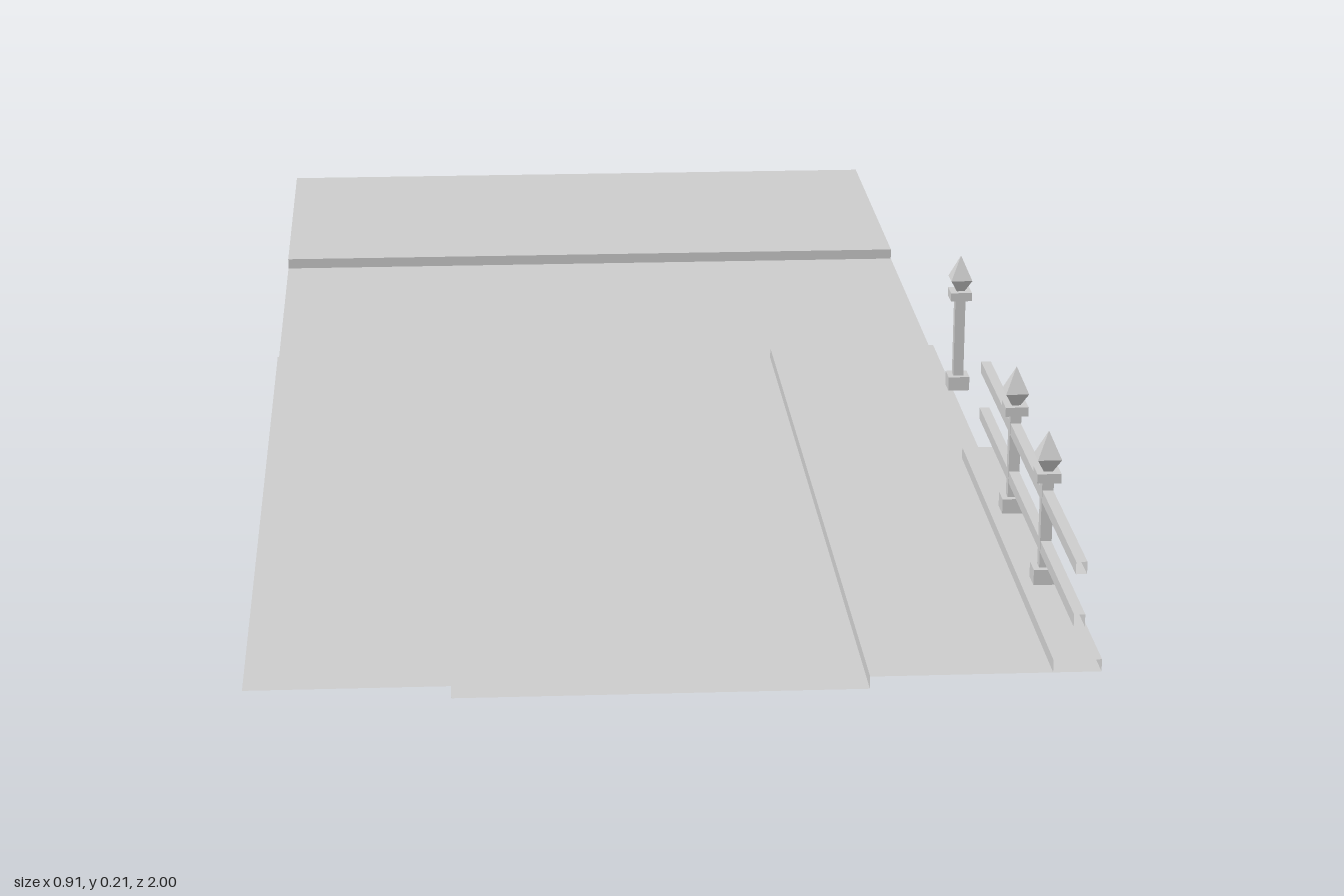
import * as THREE from 'three';

const stone = new THREE.MeshStandardMaterial({ color: 0xcccccc, side: THREE.DoubleSide });
stone.name = 'paleStone';

// Open sheet: sweeps an x/y profile from z0 to z1, without end caps
function sweep(name, profile, z0, z1) {
  const pos = [];
  for (let i = 0; i < profile.length - 1; i++) {
    const [ax, ay] = profile[i], [bx, by] = profile[i + 1];
    pos.push(ax, ay, z0, ax, ay, z1, bx, by, z1, ax, ay, z0, bx, by, z1, bx, by, z0);
  }
  const geo = new THREE.BufferGeometry();
  geo.setAttribute('position', new THREE.Float32BufferAttribute(pos, 3));
  geo.computeVertexNormals();
  const mesh = new THREE.Mesh(geo, stone);
  mesh.name = name;
  return mesh;
}

// Thin upright face across x at a given z
function riser(name, x0, x1, z) {
  const mesh = new THREE.Mesh(new THREE.PlaneGeometry(x1 - x0, H), stone);
  mesh.position.set((x0 + x1) / 2, H / 2, z);
  mesh.name = name;
  return mesh;
}

const H = 0.014; // kerb height
const L = -0.457, R = 0.43, KL = -0.237, KR = 0.208; // outer edges and kerb lines
const BACK = -0.56, WALK = -0.11; // far kerb and pavement ends
const FX = 0.43; // fence line

// Square post with plinth, shaft, collar and pointed finial
function makePost(z) {
  const post = new THREE.Group();
  post.name = 'fencePost';
  const block = (name, half, y0, y1) => {
    const m = new THREE.Mesh(new THREE.BoxGeometry(half * 2, y1 - y0, half * 2), stone);
    m.position.y = (y0 + y1) / 2;
    m.name = name;
    post.add(m);
  };
  block('plinth', 0.0135, 0.03, 0.048);
  block('shaft', 0.0065, 0.048, 0.151);
  block('collar', 0.0135, 0.151, 0.162);
  const taper = (name, top, bottom, y0, y1) => {
    const geo = new THREE.CylinderGeometry(top * Math.SQRT2, bottom * Math.SQRT2, y1 - y0, 4, 1, true)
      .rotateY(Math.PI / 4).toNonIndexed();
    geo.computeVertexNormals();
    const m = new THREE.Mesh(geo, stone);
    m.position.y = (y0 + y1) / 2;
    m.name = name;
    post.add(m);
  };
  taper('finialFlare', 0.0135, 0.005, 0.162, 0.178);
  taper('finialPoint', 0, 0.0135, 0.178, 0.2085);
  post.position.set(FX, 0, z);
  return post;
}

// Closed rectangular section, listed clockwise so that faces point outward
function tube(name, half, y0, y1) {
  return sweep(name, [[FX - half, y0], [FX - half, y1], [FX + half, y1], [FX + half, y0], [FX - half, y0]], 0.335, 1);
}

export function createModel() {
  const model = new THREE.Group();
  model.name = 'streetSection';

  // Road and pavements
  model.add(sweep('road', [[L, 0], [R, 0]], BACK, WALK));
  model.add(sweep('roadBetweenPavements', [[KL, 0], [KR, 0]], WALK, 1));
  model.add(sweep('rightPavement', [[L, H], [KL, H], [KL, 0]], WALK, 1));
  model.add(sweep('leftPavement', [[KR, 0], [KR, H], [R, H]], WALK, 1));
  model.add(sweep('farPavement', [[L, H], [R, H]], -1, BACK));
  model.add(riser('farKerb', L, R, BACK));
  for (const [x0, x1] of [[L, KL], [KR, R]]) {
    const end = riser('pavementEnd', x0, x1, WALK);
    end.rotation.y = Math.PI;
    model.add(end);
  }

  // Fence
  const fence = new THREE.Group();
  fence.name = 'fence';
  fence.add(tube('fenceBase', 0.026, H, 0.028));
  fence.add(tube('lowerRail', 0.006, 0.066, 0.08));
  fence.add(tube('upperRail', 0.006, 0.126, 0.14));
  for (const z of [0.112, 0.557, 0.78]) fence.add(makePost(z));
  model.add(fence);
  return model;
}
